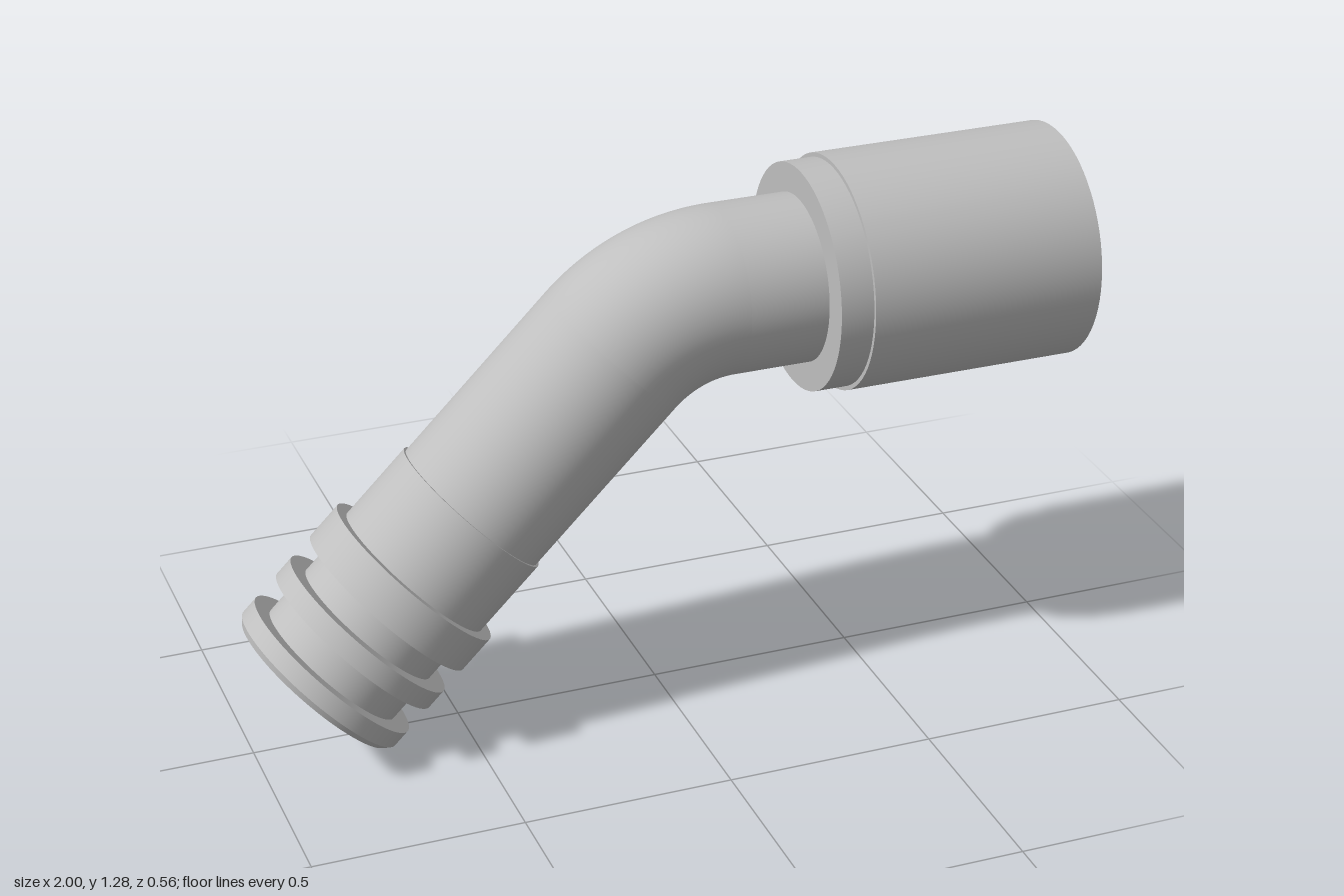
import * as THREE from 'three';
import { toCreasedNormals } from 'three/addons/utils/BufferGeometryUtils.js';

const SEGMENTS = 72;
const PIPE_R = 0.2, BORE_R = 0.157;
const BEND_R = 0.38, BEND_X = 0.16, AXIS_Y = 1.01;

export function createModel() {
  const steel = new THREE.MeshStandardMaterial({ color: 0xbfbfbf, side: THREE.DoubleSide });
  steel.name = 'steel grey';
  const model = new THREE.Group();
  model.name = 'bentHoseFitting';

  // Turned part: profile of [radius, distance along axis], sharp at its corners
  function turned(name, profile, parent) {
    const points = profile.map(([r, d]) => new THREE.Vector2(r, d));
    const mesh = new THREE.Mesh(toCreasedNormals(new THREE.LatheGeometry(points, SEGMENTS), 0.2), steel);
    mesh.name = name;
    parent.add(mesh);
  }

  // Straight end: axis runs along +x
  const socketEnd = new THREE.Group();
  socketEnd.name = 'socketEnd';
  socketEnd.position.set(0, AXIS_Y, 0);
  socketEnd.rotation.z = -Math.PI / 2;
  model.add(socketEnd);

  turned('straightPipe', [[PIPE_R, BEND_X], [PIPE_R, 0.36]], socketEnd);
  turned('socketSleeve', [
    [PIPE_R, 0.35], [0.27, 0.35], [0.27, 0.43], [0.28, 0.43], [0.28, 1],
    [0.253, 1], [0.227, 0.92], [0.227, 0.8], [PIPE_R, 0.8],
  ], socketEnd);
  turned('innerNozzle', [
    [PIPE_R, 0.8], [PIPE_R, 0.86], [0.174, 0.97], [BORE_R, 0.97], [BORE_R, BEND_X],
  ], socketEnd);

  // 45 degree bend, outside wall and bore
  for (const [name, r] of [['bendOuter', PIPE_R], ['bendBore', BORE_R]]) {
    const bend = new THREE.Mesh(new THREE.TorusGeometry(BEND_R, r, SEGMENTS, 32, Math.PI / 4), steel);
    bend.name = name;
    bend.position.set(BEND_X, AXIS_Y - BEND_R, 0);
    bend.rotation.z = Math.PI / 2;
    model.add(bend);
  }

  // Sloping end: distances measured from the lower tip up to the bend
  const length = 1.039, k = Math.SQRT1_2;
  const hoseEnd = new THREE.Group();
  hoseEnd.name = 'hoseEnd';
  hoseEnd.position.set(
    BEND_X - (BEND_R + length) * k,
    AXIS_Y - BEND_R + (BEND_R - length) * k, 0);
  hoseEnd.rotation.z = -Math.PI / 4;
  model.add(hoseEnd);

  turned('slopingPipe', [[PIPE_R, 0.553], [PIPE_R, length]], hoseEnd);
  turned('ribbedTail', [
    [0.18, 0], [0.222, 0], [0.235, 0.015], [0.235, 0.06], [0.19, 0.06],
    [0.19, 0.136], [0.235, 0.136], [0.235, 0.187], [0.19, 0.187],
    [0.19, 0.256], [0.235, 0.256], [0.235, 0.351], [0.206, 0.351],
    [0.206, 0.553], [PIPE_R, 0.553],
  ], hoseEnd);
  turned('slopingBore', [[BORE_R, length], [BORE_R, 0.025], [0.18, 0]], hoseEnd);

  return model;
}
